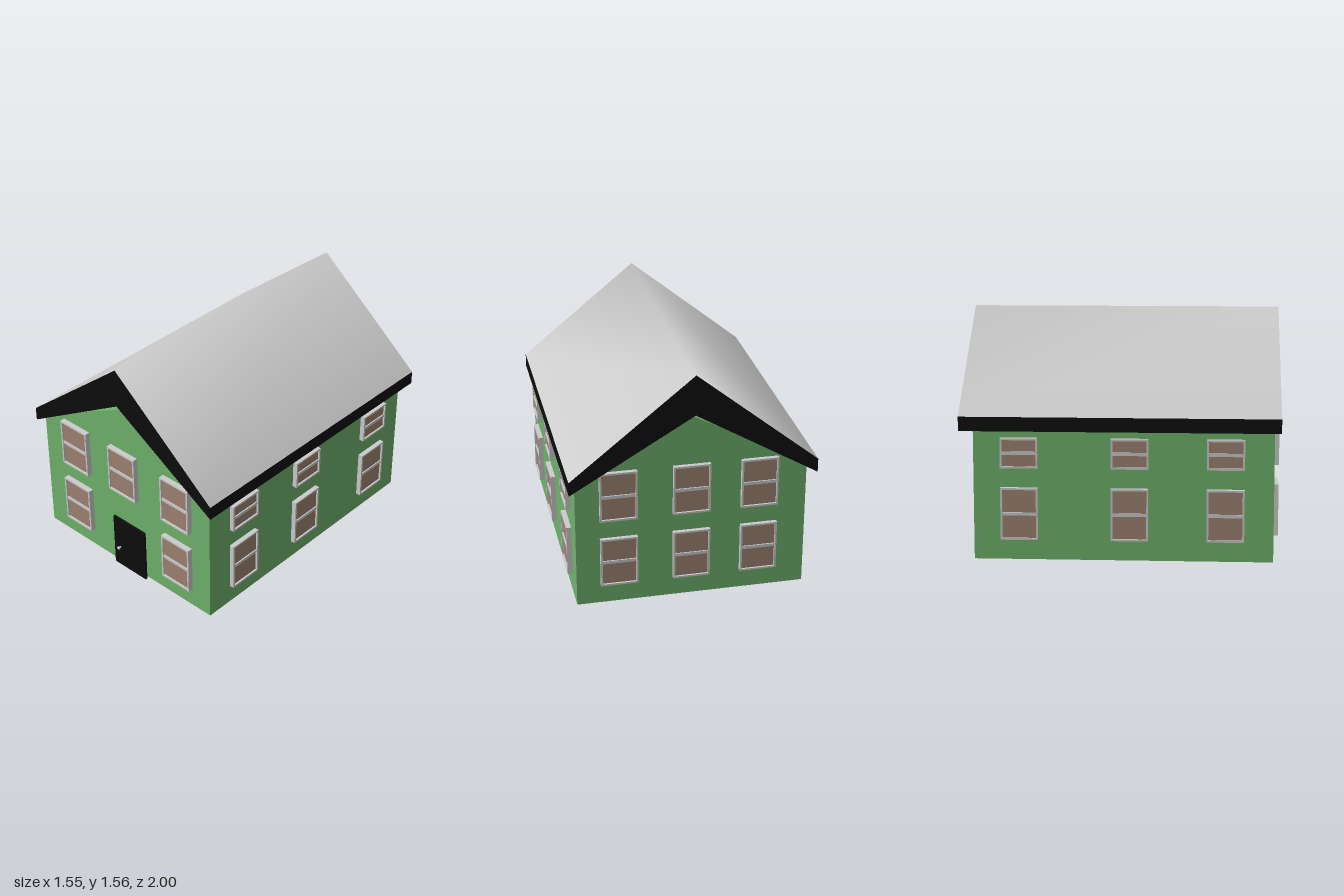
import * as THREE from 'three';

const mat = (color, side = THREE.FrontSide) => new THREE.MeshStandardMaterial({ color, side });
const grey = mat(0xcccccc);
const green = mat(0x6fb26c);
const brown = mat(0x9f8371);
const black = mat(0x0d0d0d);

// Main dimensions
const WALL_X = 0.73, FRONT = 0.96, BACK = -0.915, BASE = 0.02;
const ROOF_X = 0.775, ROOF_Z = 1;

function add(parent, name, geometry, material, x = 0, y = 0, z = 0) {
  const mesh = new THREE.Mesh(geometry, material);
  mesh.name = name;
  mesh.position.set(x, y, z);
  parent.add(mesh);
  return mesh;
}

const polygon = (points) => new THREE.Shape(points.map(([x, y]) => new THREE.Vector2(x, y)));

function prism(points, depth) {
  return new THREE.ExtrudeGeometry(polygon(points), { depth, bevelEnabled: false });
}

// Two slopes meeting in a softly shaded ridge
function ridgeSheet(eaveY, ridgeY, facesUp) {
  const positions = [], index = [];
  for (const [x, y] of [[-ROOF_X, eaveY], [0, ridgeY], [ROOF_X, eaveY]])
    for (const z of [ROOF_Z, -ROOF_Z]) positions.push(x, y, z);
  for (const a of [0, 2]) {
    if (facesUp) index.push(a, a + 2, a + 1, a + 1, a + 2, a + 3);
    else index.push(a, a + 1, a + 2, a + 1, a + 3, a + 2);
  }
  const geometry = new THREE.BufferGeometry();
  geometry.setAttribute('position', new THREE.Float32BufferAttribute(positions, 3));
  geometry.setIndex(index);
  geometry.computeVertexNormals();
  return geometry;
}

// Sash window facing +z with its back on z = 0
function makeWindow(w, h, depth) {
  const group = new THREE.Group();
  group.name = 'window';
  const rim = 0.012, a = w / 2, b = h / 2;
  const outline = polygon([[-a, -b], [a, -b], [a, b], [-a, b]]);
  const c = a - rim, d = b - rim;
  outline.holes.push(polygon([[-c, -d], [-c, d], [c, d], [c, -d]]));
  add(group, 'windowFrame', new THREE.ExtrudeGeometry(outline, { depth, bevelEnabled: false }), grey);
  const paneDepth = depth - 0.012;
  add(group, 'windowPane', new THREE.BoxGeometry(2 * c, 2 * d, paneDepth), brown, 0, 0, paneDepth / 2);
  const barDepth = depth - 0.004;
  add(group, 'windowBar', new THREE.BoxGeometry(2 * c, 0.02, barDepth), grey, 0, 0, barDepth / 2);
  return group;
}

function makeRoof() {
  const roof = new THREE.Group();
  roof.name = 'roof';
  const top = 1.56, under = 1.3, eaveTop = 0.93, eaveLow = 0.84;
  add(roof, 'roofSlopes', ridgeSheet(eaveTop, top, true), grey);
  add(roof, 'roofUnderside', ridgeSheet(eaveLow, under, false), grey);
  const end = new THREE.ShapeGeometry(polygon([
    [-ROOF_X, eaveLow], [0, under], [ROOF_X, eaveLow],
    [ROOF_X, eaveTop], [0, top], [-ROOF_X, eaveTop],
  ]));
  const eave = new THREE.PlaneGeometry(2 * ROOF_Z, eaveTop - eaveLow);
  for (const s of [1, -1]) {
    const board = add(roof, 'gableBoard', end, black, 0, 0, s * ROOF_Z);
    board.rotation.y = s > 0 ? 0 : Math.PI;
    const fascia = add(roof, 'eaveFascia', eave, black, s * ROOF_X, (eaveTop + eaveLow) / 2, 0);
    fascia.rotation.y = s * Math.PI / 2;
  }
  return roof;
}

function makeDoor() {
  const door = new THREE.Group();
  door.name = 'door';
  add(door, 'doorPanel', new THREE.BoxGeometry(0.28, 0.38, 0.015), black, 0.03, 0.19, FRONT + 0.0075);
  const stem = add(door, 'doorKnobStem', new THREE.CylinderGeometry(0.007, 0.007, 0.02, 12), grey,
    -0.055, 0.15, FRONT + 0.022);
  stem.rotation.x = Math.PI / 2;
  add(door, 'doorKnob', new THREE.SphereGeometry(0.012, 16, 10), grey, -0.055, 0.15, FRONT + 0.034)
    .scale.z = 0.6;
  return door;
}

export function createModel() {
  const house = new THREE.Group();
  house.name = 'house';

  // Walls with gables, floor and the attic core behind the gables
  add(house, 'walls', prism([
    [-WALL_X, BASE], [WALL_X, BASE], [WALL_X, 0.89], [0, 1.255], [-WALL_X, 0.89],
  ], FRONT - BACK), green, 0, 0, BACK);
  const floor = add(house, 'floor', new THREE.PlaneGeometry(2 * WALL_X, FRONT - BACK), grey,
    0, BASE - 0.002, (FRONT + BACK) / 2);
  floor.rotation.x = Math.PI / 2;
  add(house, 'atticCore', prism([[-0.7, 0.88], [0.7, 0.88], [0, 1.3]], 1.7), grey, 0, 0, -0.83);

  house.add(makeRoof(), makeDoor());

  const place = (w, h, depth, x, y, z, turn) => {
    const win = makeWindow(w, h, depth);
    win.position.set(x, y, z);
    win.rotation.y = turn;
    house.add(win);
  };

  // Front and back windows; the door takes the middle of the front ground floor
  for (const x of [-0.428, 0.003, 0.462]) {
    const middle = Math.abs(x) < 0.1;
    const upperY = middle ? 0.778 : 0.77;
    place(0.235, 0.33, 0.035, x, upperY, FRONT, 0);
    if (!middle) place(0.235, 0.33, 0.035, x, 0.315, FRONT, 0);
    place(0.235, 0.33, 0.027, x, 0.77, BACK, Math.PI);
    place(0.235, 0.33, 0.027, x, 0.315, BACK, Math.PI);
  }

  // Side windows, short ones under the eaves
  for (const s of [1, -1]) {
    for (const z of [0.66, 0.063, -0.627]) {
      place(0.235, 0.19, 0.032, s * WALL_X, 0.7, z, s * Math.PI / 2);
      place(0.235, 0.33, 0.032, s * WALL_X, 0.315, z, s * Math.PI / 2);
    }
  }
  return house;
}
